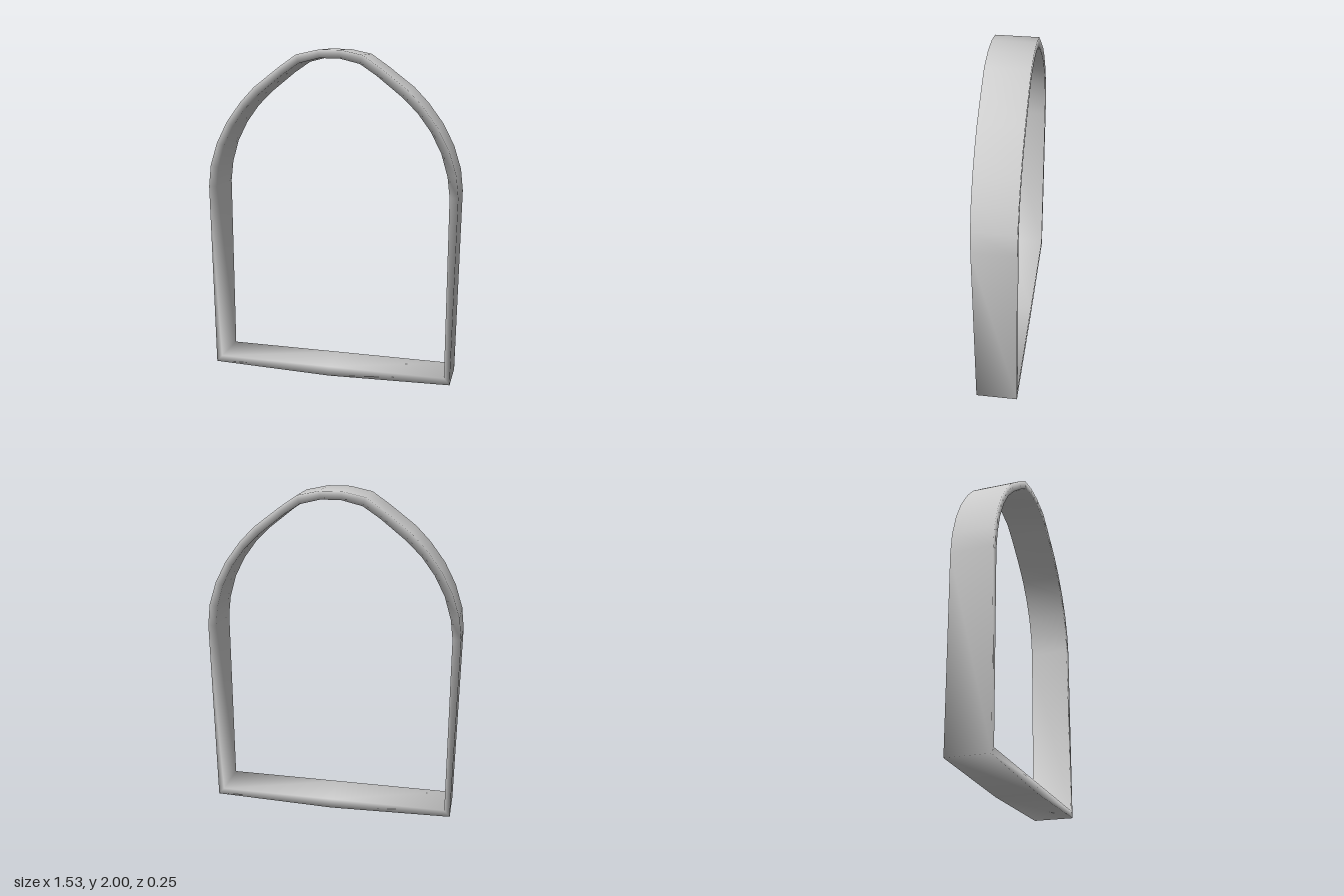
import * as THREE from 'three';

// Half outline from bottom centre up to the crown: outer x, outer y, inner x, inner y
const HALF = [
  [0, 0, 0, 0.06],
  [0.75, 0.02, 0.715, 0.06],
  [0.765, 1.17, 0.715, 1.17],
  [0.75, 1.3, 0.7, 1.29],
  [0.705, 1.44, 0.66, 1.425],
  [0.637, 1.57, 0.598, 1.545],
  [0.547, 1.69, 0.52, 1.65],
  [0.46, 1.78, 0.43, 1.738],
  [0.303, 1.9, 0.28, 1.857],
  [0.198, 1.972, 0.182, 1.922],
  [0.066, 2, 0.06, 1.952],
];
const DEPTH = 0.125;

export function createModel() {
  const mirrored = HALF.slice(1).reverse().map(([ox, oy, ix, iy]) => [-ox, oy, -ix, iy]);
  const stations = [...HALF, ...mirrored];

  // Rectangular section at every station: outer front, outer back, inner back, inner front
  const positions = [];
  for (const [ox, oy, ix, iy] of stations) {
    positions.push(ox, oy, DEPTH, ox, oy, -DEPTH, ix, iy, -DEPTH, ix, iy, DEPTH);
  }

  // Join neighbouring sections into a closed loop
  const index = [];
  const n = stations.length;
  for (let i = 0; i < n; i++) {
    const next = (i + 1) % n;
    for (let k = 0; k < 4; k++) {
      const k2 = (k + 1) % 4;
      const a = i * 4 + k, b = i * 4 + k2, c = next * 4 + k, d = next * 4 + k2;
      index.push(a, b, c, b, d, c);
    }
  }

  // Shared corners give the softly shaded edges
  const geometry = new THREE.BufferGeometry();
  geometry.setAttribute('position', new THREE.Float32BufferAttribute(positions, 3));
  geometry.setIndex(index);
  geometry.computeVertexNormals();

  const frame = new THREE.Mesh(geometry, new THREE.MeshStandardMaterial({ color: 0xcccccc }));
  frame.name = 'archedFrame';
  const group = new THREE.Group();
  group.name = 'archedWindowFrame';
  group.add(frame);
  return group;
}
